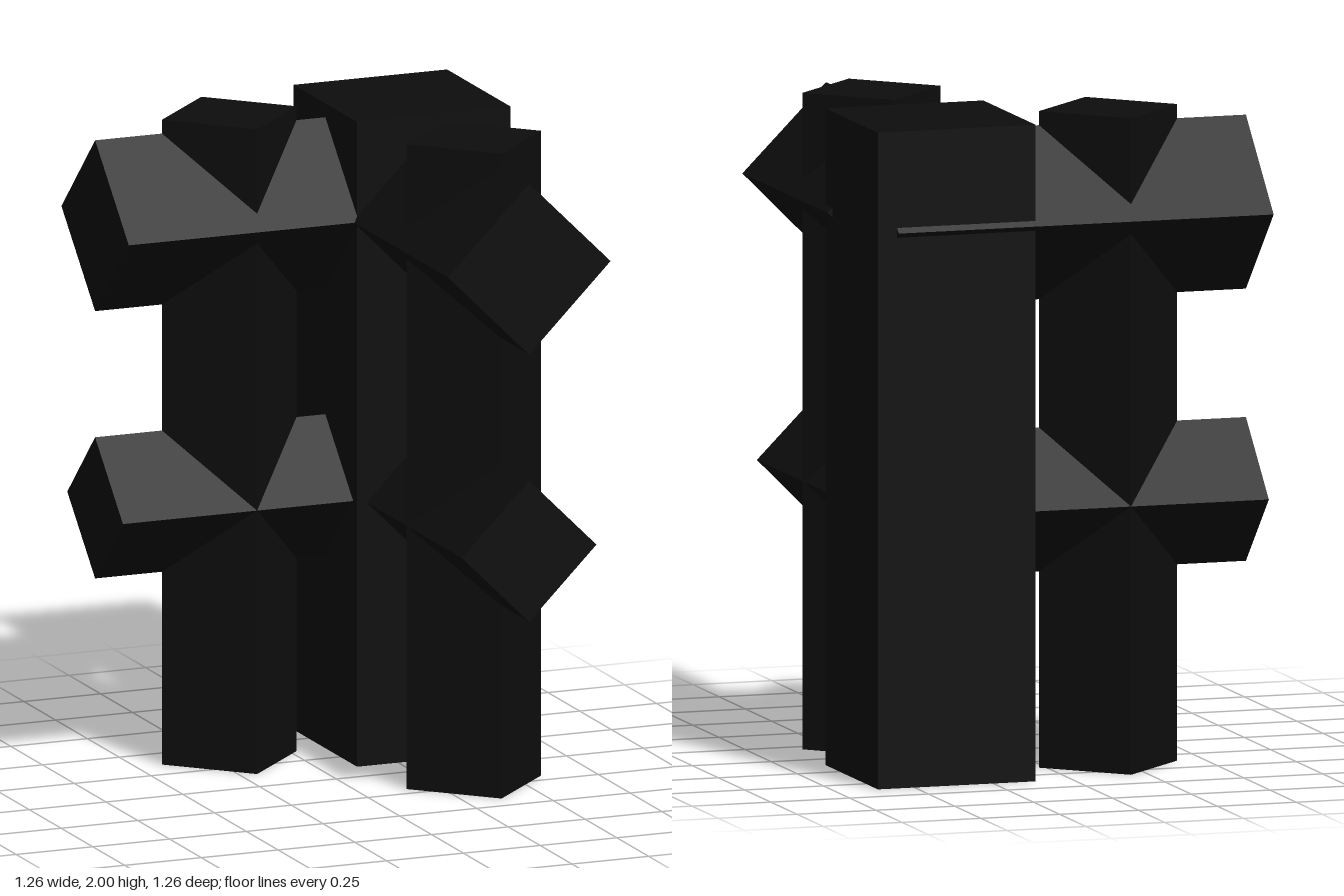
import * as THREE from 'three';

export function createModel() {
  const model = new THREE.Group();
  const charcoal = new THREE.MeshStandardMaterial({ color: 0x0d0d0d });
  charcoal.name = 'charcoal';

  const C = 0.366; // offset of the corner post and both fence lines
  const add = (parent, name, geometry, x, y, z) => {
    const mesh = new THREE.Mesh(geometry, charcoal);
    mesh.name = name;
    mesh.position.set(x, y, z);
    parent.add(mesh);
  };

  // Square bar turned on edge, running along one axis; half is its half diagonal
  const diamondBar = (half, length, axis) => {
    const s = half * Math.SQRT2;
    const g = new THREE.BoxGeometry(s, length, s).rotateY(Math.PI / 4);
    if (axis === 'x') g.rotateZ(Math.PI / 2);
    if (axis === 'z') g.rotateX(Math.PI / 2);
    return g;
  };

  // Corner post
  add(model, 'cornerPost', new THREE.BoxGeometry(0.5, 2, 0.5), C, 1, -C);

  // Two fence arms at right angles, each a picket with two rails
  const rails = [['lowerRail', 0.817, 0.219], ['upperRail', 1.692, 0.265]];
  const start = 0.634, end = -0.555;
  const upperEnds = { x: end, z: -0.18 };
  for (const axis of ['x', 'z']) {
    const arm = new THREE.Group();
    arm.name = axis === 'x' ? 'sideArm' : 'frontArm';
    // Distance along the arm, measured outwards from the corner
    const place = (name, geometry, along, y) => axis === 'x'
      ? add(arm, name, geometry, -along, y, -C)
      : add(arm, name, geometry, C, y, along);
    place('picket', diamondBar(0.219, 2, 'y'), 0.197, 1);
    for (const [name, y, half] of rails) {
      const inner = upperEnds[axis];
      place(name, diamondBar(half, start - inner, axis), (start + inner) / 2, y);
    }
    model.add(arm);
  }
  return model;
}
